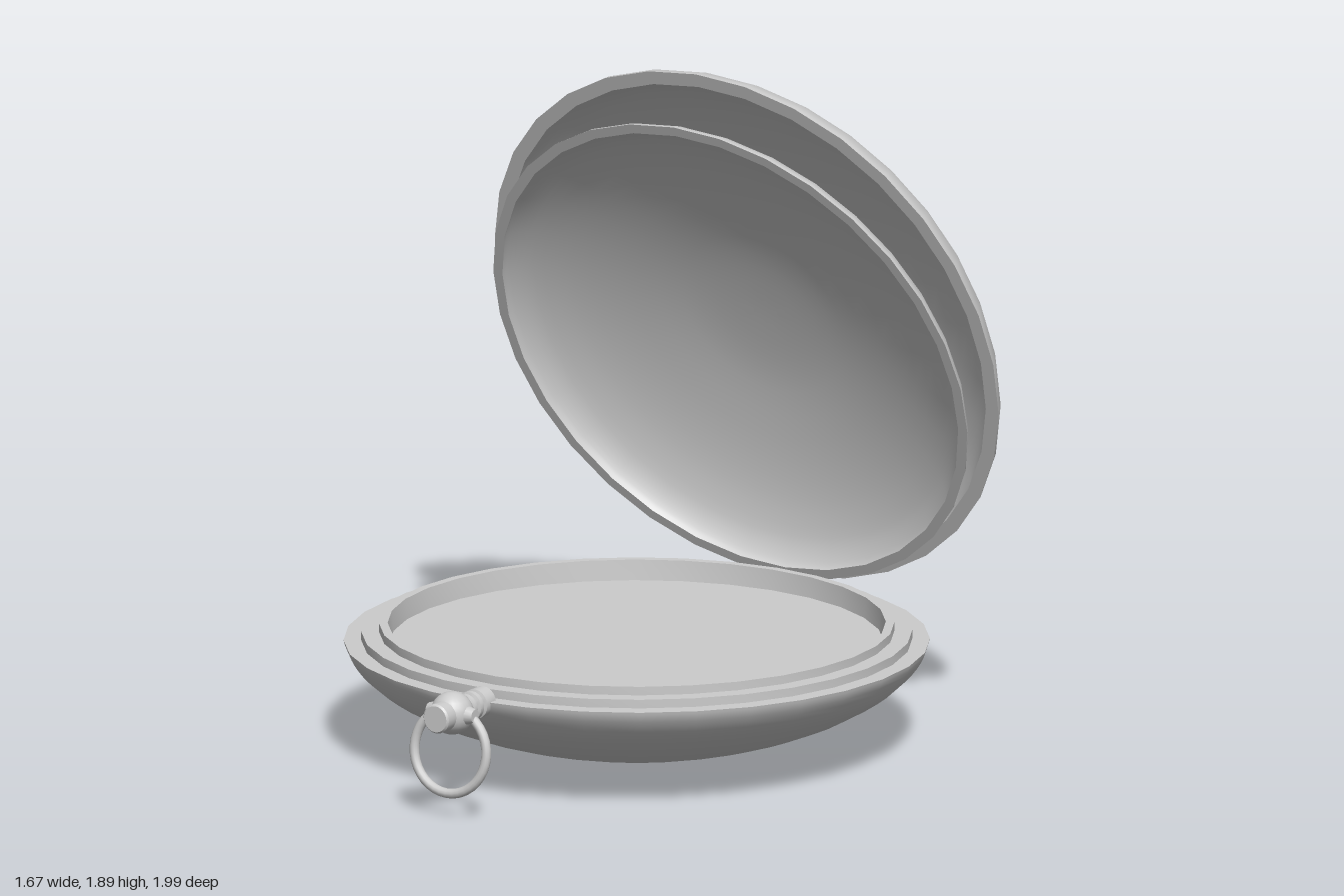
import * as THREE from 'three';
import { toCreasedNormals } from 'three/addons/utils/BufferGeometryUtils.js';

const SEGMENTS = 32;
const material = new THREE.MeshStandardMaterial({ color: 0xcccccc });

function addMesh(parent, name, geometry) {
  const mesh = new THREE.Mesh(geometry, material);
  mesh.name = name;
  parent.add(mesh);
  return mesh;
}

function lathe(points, segments = SEGMENTS) {
  const profile = points.map(([r, y]) => new THREE.Vector2(r, y));
  return toCreasedNormals(new THREE.LatheGeometry(profile, segments), 0.5);
}

// Shallow bowl section from the centre out to its edge; the rim lies at y = 0
function bowl(radius, depth) {
  const points = [[0, -1], [0.18, -0.985], [0.36, -0.925], [0.6, -0.755], [0.78, -0.56],
    [0.9, -0.36], [0.955, -0.22], [0.99, -0.08], [1, 0]];
  const curve = new THREE.SplineCurve(points.map(([r, y]) => new THREE.Vector2(r * radius, y * depth)));
  return curve.getPoints(20).map((p) => [Math.max(0, p.x), p.y]);
}

// Hollow hinged lid: outer dome, flat lip, inner dome
function addLid(parent, name, radius, depth, lip, wall, tilt, y, z) {
  const inside = bowl(radius - lip, depth - wall).reverse();
  const lid = addMesh(parent, name, lathe([...bowl(radius, depth), ...inside]));
  lid.rotation.x = Math.PI / 2 + THREE.MathUtils.degToRad(tilt);
  lid.position.set(0, y, z);
}

export function createModel() {
  const model = new THREE.Group();
  model.name = 'openPocketCase';

  // Case with a stepped bezel and a recessed dial
  const rimY = 0.305;
  const shell = bowl(0.83, rimY).map(([r, y]) => [r, y + rimY]);
  const body = addMesh(model, 'caseBody', lathe([
    ...shell,
    [0.78, rimY], [0.78, 0.33],
    [0.73, 0.33], [0.73, 0.355],
    [0.705, 0.355], [0.7, 0.295],
  ]));
  body.position.z = -0.045;
  const dial = addMesh(model, 'dial', new THREE.CircleGeometry(0.702, SEGMENTS));
  dial.rotation.x = -Math.PI / 2;
  dial.position.set(0, 0.296, -0.045);

  // Two lids open at the back
  addLid(model, 'outerLid', 0.833, 0.305, 0.042, 0.025, 18.5, 1.1, -0.615);
  addLid(model, 'innerLid', 0.778, 0.222, 0.03, 0.02, 22.3, 1.04, -0.53);

  // Ridged stem, round knuckle and crown, turned along +z
  const stem = new THREE.Group();
  stem.name = 'stem';
  stem.position.set(0, 0.298, 0);
  model.add(stem);
  const neck = addMesh(stem, 'stemNeck', lathe([
    [0, 0.75], [0.043, 0.75], [0.043, 0.795], [0.03, 0.8], [0.03, 0.806],
    [0.042, 0.81], [0.042, 0.825], [0.03, 0.83], [0.03, 0.836],
    [0.04, 0.84], [0.04, 0.852], [0.03, 0.857], [0.03, 0.88], [0, 0.88],
  ], 20));
  neck.rotation.x = Math.PI / 2;
  const knuckle = addMesh(stem, 'knuckle', new THREE.SphereGeometry(0.062, 20, 14));
  knuckle.position.z = 0.912;
  const crown = addMesh(stem, 'crown', lathe([
    [0, 0.92], [0.043, 0.92], [0.043, 0.994], [0.038, 1], [0, 1],
  ], 20));
  crown.rotation.x = Math.PI / 2;

  // Side lugs on the knuckle
  for (const side of [-1, 1]) {
    const lug = addMesh(stem, side > 0 ? 'leftLug' : 'rightLug',
      new THREE.CylinderGeometry(0.02, 0.03, 0.035, 16));
    lug.rotation.z = -side * Math.PI / 2;
    lug.position.set(side * 0.06, 0, 0.912);
  }

  // Loose ring hanging from the knuckle
  const ring = addMesh(model, 'hangingRing', new THREE.TorusGeometry(0.121, 0.014, 12, 36));
  ring.rotation.x = -0.13;
  ring.position.set(0, 0.188, 0.921);

  return model;
}
